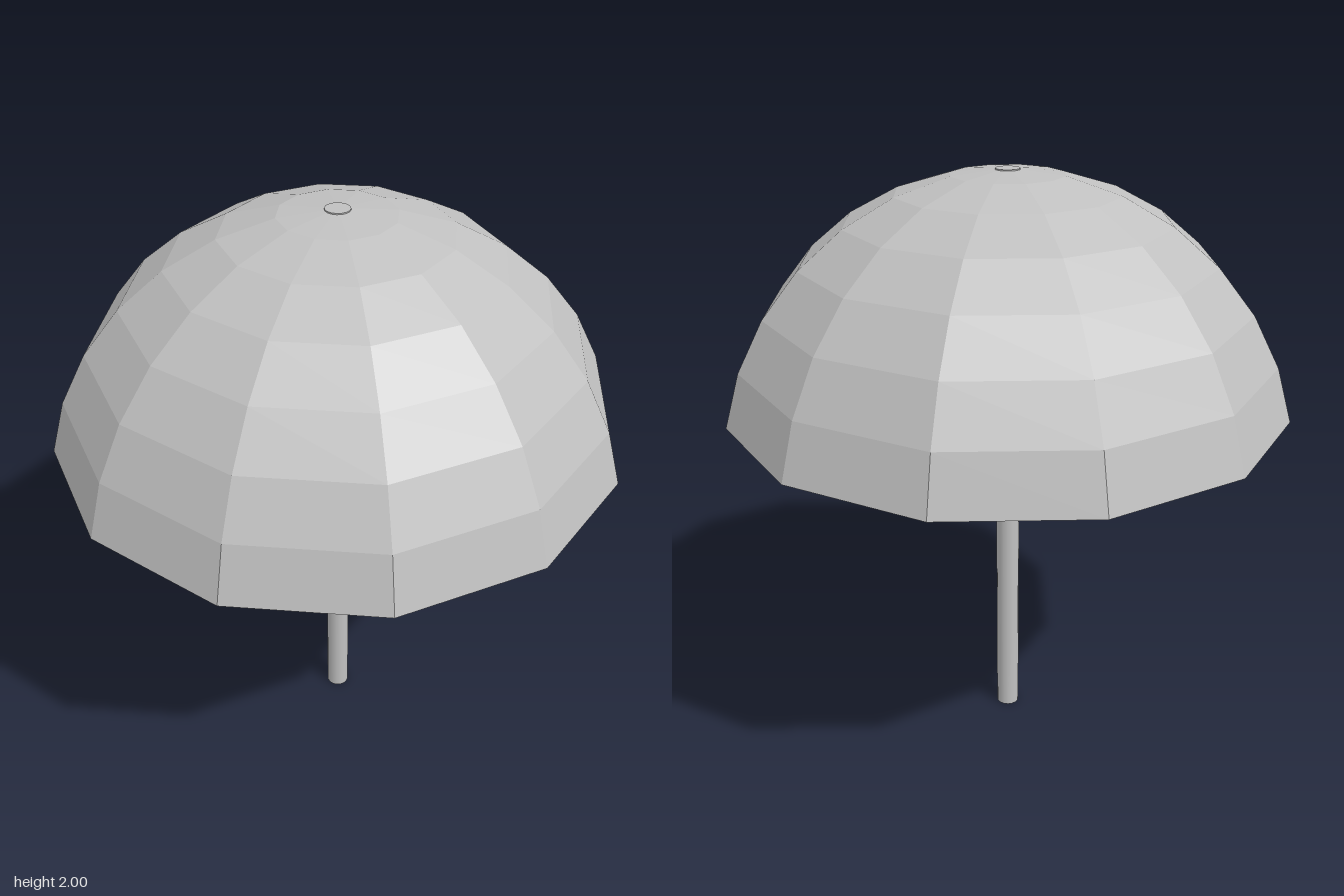
import * as THREE from 'three';

export function createModel() {
  const group = new THREE.Group();
  const canopyGrey = new THREE.MeshStandardMaterial({
    name: 'plainGrey', color: 0xc0c0c0, flatShading: true, side: THREE.DoubleSide,
  });
  const poleGrey = new THREE.MeshStandardMaterial({ name: 'poleGrey', color: 0xc0c0c0 });

  // Faceted open dome: 12 panels, 7 rings, each ring 1/16 of a half turn
  const radius = 0.95, step = Math.PI / 16, rings = 7;
  const canopy = new THREE.Mesh(
    new THREE.SphereGeometry(radius, 12, rings, 0, Math.PI * 2, 0, step * rings), canopyGrey);
  canopy.name = 'canopy';
  canopy.position.y = 2 - radius;
  group.add(canopy);

  // Straight pole reaching the crown of the canopy
  const pole = new THREE.Mesh(new THREE.CylinderGeometry(0.04, 0.04, 2, 16), poleGrey);
  pole.name = 'pole';
  pole.position.y = 1;
  group.add(pole);

  return group;
}
